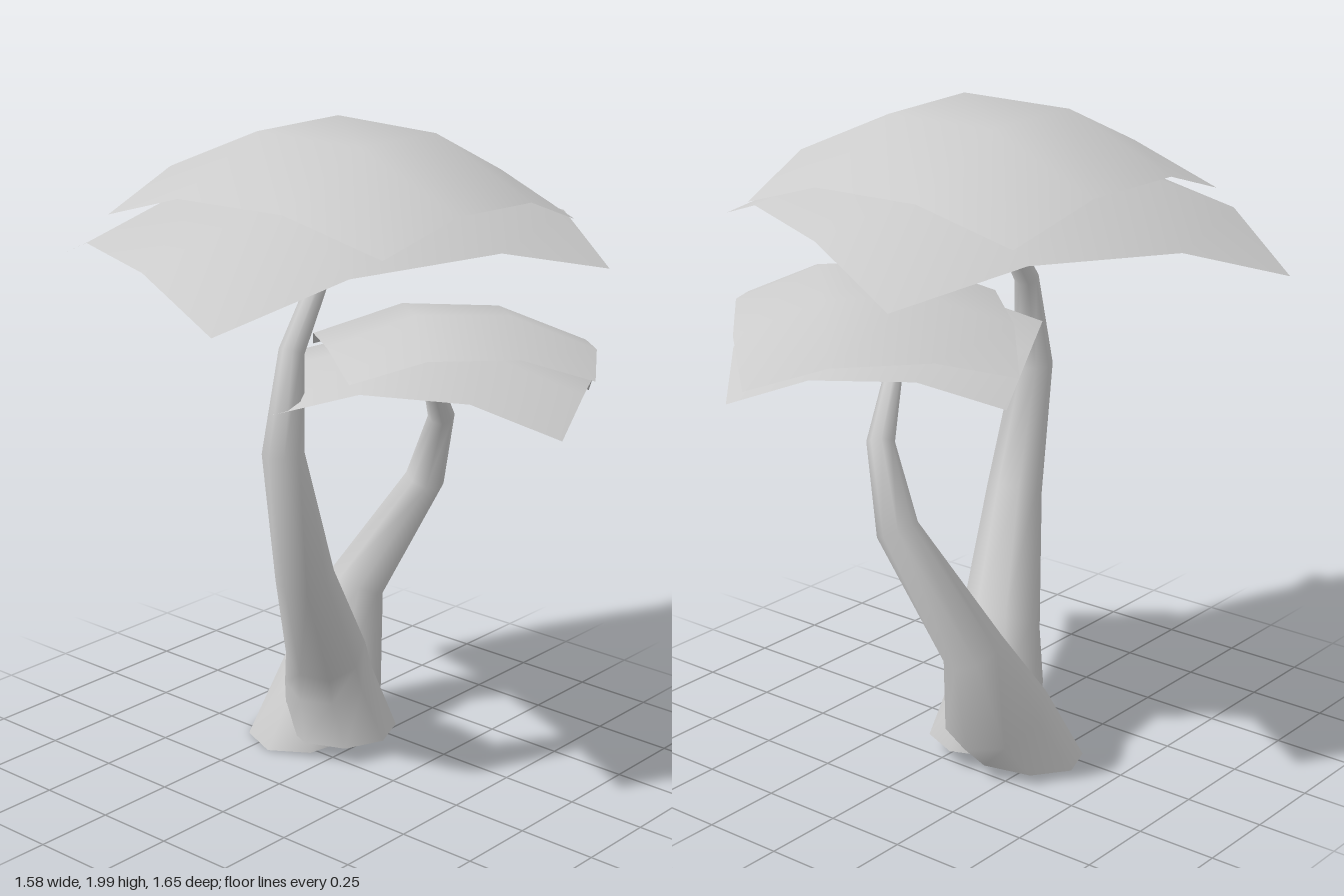
import * as THREE from 'three';

const material = new THREE.MeshStandardMaterial({ color: 0xcccccc, side: THREE.DoubleSide });

function makeMesh(name, points, index) {
  const geometry = new THREE.BufferGeometry().setFromPoints(points);
  geometry.setIndex(index);
  geometry.computeVertexNormals();
  const mesh = new THREE.Mesh(geometry, material);
  mesh.name = name;
  return mesh;
}

// Tapered trunk lofted through rings [x, y, z, radius]
function trunk(name, rings, baseNormal, sides = 8) {
  const centres = rings.map(([x, y, z]) => new THREE.Vector3(x, y, z));
  const last = rings.length - 1;
  const up = new THREE.Vector3(0, 1, 0);
  const points = [], index = [];
  centres.forEach((centre, i) => {
    const direction = new THREE.Vector3();
    if (i === 0) direction.copy(baseNormal);
    else {
      direction.subVectors(centre, centres[i - 1]).normalize();
      if (i < last) direction.add(centres[i + 1].clone().sub(centre).normalize());
    }
    const turn = new THREE.Quaternion().setFromUnitVectors(up, direction.normalize());
    for (let s = 0; s < sides; s++) {
      const a = (s / sides) * Math.PI * 2;
      points.push(new THREE.Vector3(Math.cos(a), 0, Math.sin(a))
        .multiplyScalar(rings[i][3]).applyQuaternion(turn).add(centre));
      if (i < last) {
        const p = i * sides + s, q = i * sides + (s + 1) % sides;
        index.push(p, p + sides, q, q, p + sides, q + sides);
      }
    }
  });
  return makeMesh(name, points, index);
}

// Domed four-cornered leaf sheet on a 4 x 4 grid; corners run clockwise from above
function leafSheet(name, corners, edgeLift, innerLift) {
  const [c00, c10, c11, c01] = corners.map((c) => new THREE.Vector3(...c));
  const steps = [-1, -0.38, 0.38, 1];
  const points = [], index = [];
  steps.forEach((v, j) => steps.forEach((u, i) => {
    const onU = Math.abs(u) === 1, onV = Math.abs(v) === 1;
    // The middle of each edge bulges outwards a little
    const s = (u * (onU && !onV ? 1.08 : 1) + 1) / 2;
    const t = (v * (onV && !onU ? 1.08 : 1) + 1) / 2;
    const back = c00.clone().lerp(c10, s), front = c01.clone().lerp(c11, s);
    const point = back.lerp(front, t);
    if (!onU && !onV) point.y += innerLift;
    else if (onU !== onV) point.y += edgeLift;
    points.push(point);
    if (i < 3 && j < 3) {
      const p = j * 4 + i;
      index.push(p, p + 4, p + 1, p + 1, p + 4, p + 5);
    }
  }));
  return makeMesh(name, points, index);
}

export function createModel() {
  const model = new THREE.Group();
  model.name = 'twinTree';

  // Two trunks sharing a root
  model.add(trunk('tallTrunk', [
    [0.11, 0.065, -0.06, 0.175], [0.07, 0.25, -0.08, 0.14], [0.0, 0.38, -0.03, 0.125],
    [-0.25, 0.73, 0.11, 0.088], [-0.33, 1.13, 0.1, 0.062],
    [-0.275, 1.42, 0.085, 0.038], [-0.035, 1.74, 0.055, 0.024],
  ], new THREE.Vector3(0, 1, 0)));
  const shortBase = new THREE.Vector3(-0.12, 1, -0.05);
  model.add(trunk('shortTrunk', [
    [0.09, 0.033, -0.19, 0.19], [0.19, 0.2, -0.165, 0.165], [0.33, 0.46, -0.19, 0.095],
    [0.45, 0.83, -0.005, 0.064], [0.41, 1.07, 0.09, 0.042], [0.25, 1.27, 0.165, 0.024],
  ], shortBase));

  // Tall crown: two overlapping sheets
  model.add(leafSheet('tallCrownTop',
    [[-0.43, 1.76, -0.5], [0.55, 1.77, -0.51], [0.5, 1.74, 0.51], [-0.4, 1.78, 0.53]], 0.09, 0.238));
  model.add(leafSheet('tallCrownSkirt',
    [[-0.32, 1.57, -0.83], [0.79, 1.61, -0.28], [0.37, 1.65, 0.73], [-0.79, 1.6, 0.27]], 0.11, 0.28));

  // Short crown: two overlapping sheets
  model.add(leafSheet('shortCrownTop',
    [[0.2, 1.28, -0.26], [0.72, 1.25, 0.34], [0.22, 1.36, 0.8], [-0.27, 1.36, 0.3]], 0.07, 0.17));
  model.add(leafSheet('shortCrownSkirt',
    [[0.26, 1.2, -0.26], [0.66, 1.17, 0.47], [0.04, 1.23, 0.82], [-0.36, 1.25, 0.09]], 0.09, 0.19));

  return model;
}
